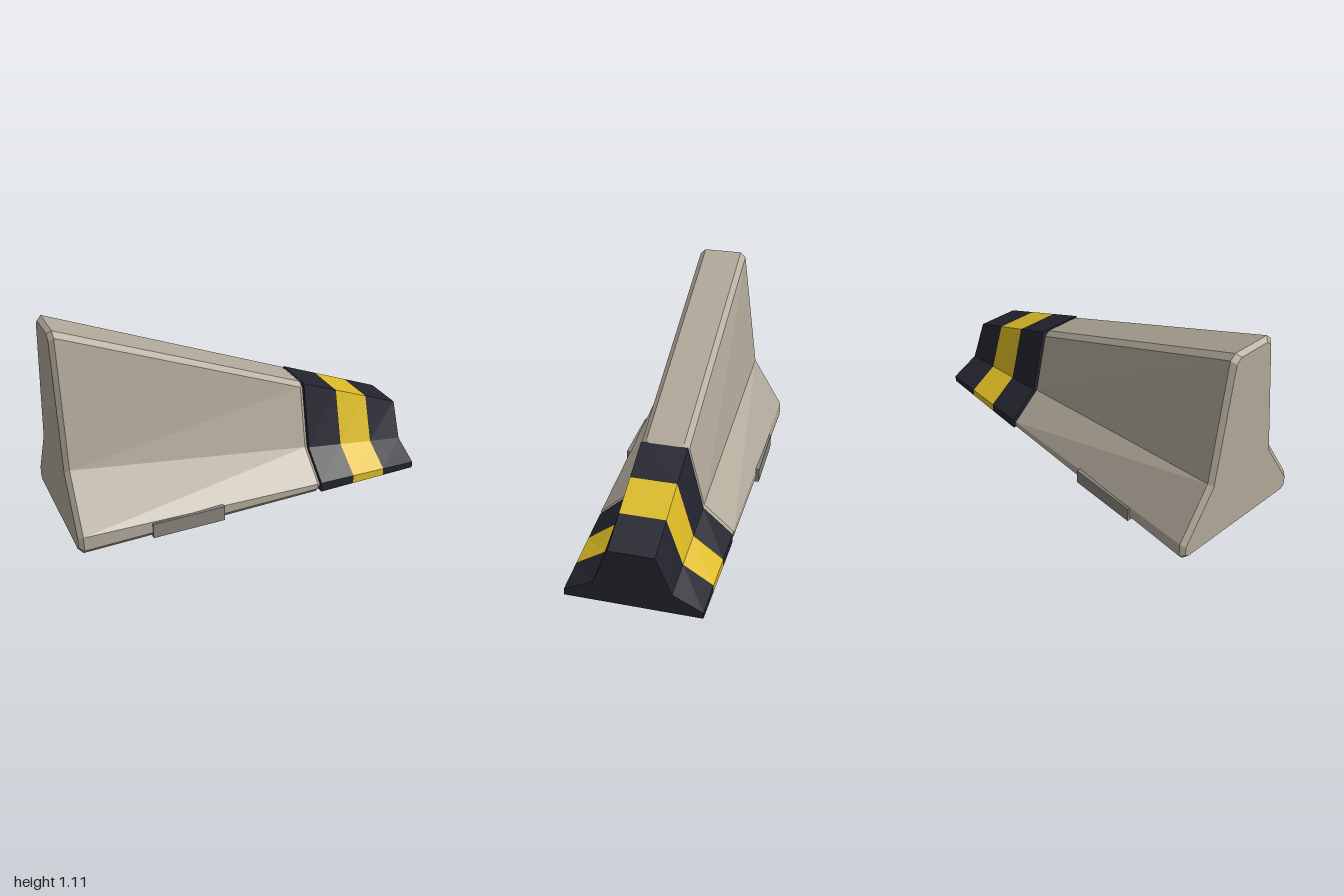
import * as THREE from 'three';

// Closed cross-section at x from half-profile points [z, y], bottom to top, mirrored in z
function ring(x, half) {
  const front = half.map(([z, y]) => [x, y, z]);
  const back = half.map(([z, y]) => [x, y, -z]).reverse();
  return [...front, ...back];
}

// Flat-shaded skin through the rings (ordered by x), with optional end caps
function loft(rings, capStart = true, capEnd = true) {
  const pos = [];
  const quad = (a, b, c, d) => pos.push(...a, ...b, ...c, ...a, ...c, ...d);
  const n = rings[0].length;
  for (let r = 0; r < rings.length - 1; r++) {
    const A = rings[r], B = rings[r + 1];
    for (let i = 0; i < n; i++) {
      const j = (i + 1) % n;
      quad(A[i], B[i], B[j], A[j]);
    }
  }
  const S = rings[0], E = rings[rings.length - 1];
  for (let i = 0; i < n / 2 - 1; i++) {
    if (capStart) quad(S[i], S[i + 1], S[n - 2 - i], S[n - 1 - i]);
    if (capEnd) quad(E[i], E[n - 1 - i], E[n - 2 - i], E[i + 1]);
  }
  const g = new THREE.BufferGeometry();
  g.setAttribute('position', new THREE.Float32BufferAttribute(pos, 3));
  g.computeVertexNormals();
  return g;
}

const mix = (P, Q, t) => P.map(([z, y], i) => [z + (Q[i][0] - z) * t, y + (Q[i][1] - y) * t]);

export function createModel() {
  const group = new THREE.Group();
  group.name = 'taperedBarrierEnd';
  const material = (name, color) => {
    const m = new THREE.MeshStandardMaterial({ color, flatShading: true });
    m.name = name;
    return m;
  };
  const concrete = material('concrete', 0xb0a899);
  const darkPaint = material('darkPaint', 0x23232e);
  const yellowPaint = material('yellowPaint', 0xdcba24);
  const footGrey = material('footGrey', 0x86817a);
  const add = (name, geometry, mat) => {
    const mesh = new THREE.Mesh(geometry, mat);
    mesh.name = name;
    group.add(mesh);
    return mesh;
  };

  // Concrete body: sloping top, flared base, chamfered edges and ends
  const tall = [[0.377, 0], [0.4, 0.028], [0.4, 0.107], [0.225, 0.4], [0.138, 1.085], [0.108, 1.112]];
  const low = [[0.35, 0], [0.372, 0.028], [0.372, 0.057], [0.208, 0.207], [0.128, 0.545], [0.1, 0.571]];
  const inset = (half) => half.map(([z, y], i) => [z - 0.02, i === 0 ? 0.02 : i === 1 ? 0.036 : y - 0.018]);
  add('concreteBody', loft([
    ring(-1, inset(tall)), ring(-0.976, tall), ring(0.368, low), ring(0.392, inset(low)),
  ]), concrete);

  // Painted nose: three bands along one taper
  const noseBack = [[0.37, 0], [0.37, 0.056], [0.21, 0.2], [0.125, 0.56]];
  const noseTip = [[0.355, 0], [0.355, 0.035], [0.2, 0.115], [0.118, 0.318]];
  const x0 = 0.392, x1 = 1;
  const noseRing = (x) => ring(x, mix(noseBack, noseTip, (x - x0) / (x1 - x0)));
  add('noseBandRear', loft([noseRing(x0), noseRing(0.6)], true, false), darkPaint);
  add('noseBandStripe', loft([noseRing(0.6), noseRing(0.8)], false, false), yellowPaint);
  add('noseBandTip', loft([noseRing(0.8), noseRing(x1)], false, true), darkPaint);

  // Foot blocks on both sides of the base
  for (const side of [1, -1]) {
    const foot = add(side > 0 ? 'footBlockFront' : 'footBlockBack', new THREE.BoxGeometry(0.4, 0.084, 0.04), footGrey);
    foot.position.set(-0.41, 0.043, side * 0.383);
  }
  return group;
}
